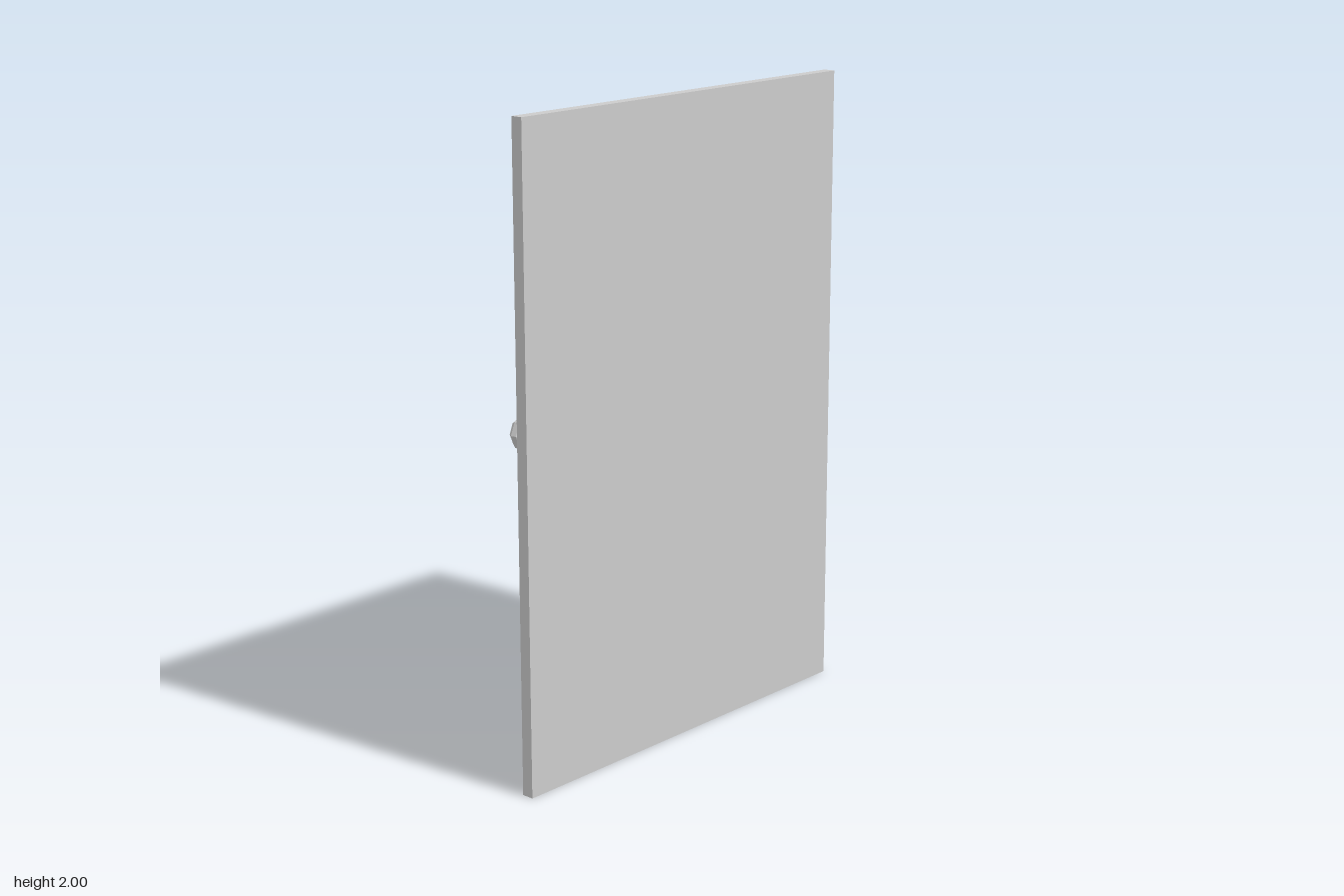
import * as THREE from 'three';

export function createModel() {
  const group = new THREE.Group();
  const panelMaterial = new THREE.MeshStandardMaterial({ color: 0xcccccc });
  const knobMaterial = new THREE.MeshStandardMaterial({ color: 0xcccccc, flatShading: true });

  // Flat door slab, thin along x
  const panel = new THREE.Mesh(new THREE.BoxGeometry(0.038, 2, 1.372), panelMaterial);
  panel.name = 'doorPanel';
  panel.position.set(0.052, 1, 0);
  group.add(panel);

  // Eight-sided knob: [radius, x] from the rounded tip to the end of the stem
  const profile = [
    [0, -0.073], [0.022, -0.071], [0.043, -0.061], [0.054, -0.045],
    [0.051, -0.028], [0.037, -0.021], [0.037, 0.024], [0, 0.024],
  ].map(([r, x]) => new THREE.Vector2(r, x));
  const knob = new THREE.Mesh(new THREE.LatheGeometry(profile, 8), knobMaterial);
  knob.name = 'doorKnob';
  knob.rotation.z = -Math.PI / 2;
  knob.position.set(0, 1.07, 0.58);
  group.add(knob);

  return group;
}
